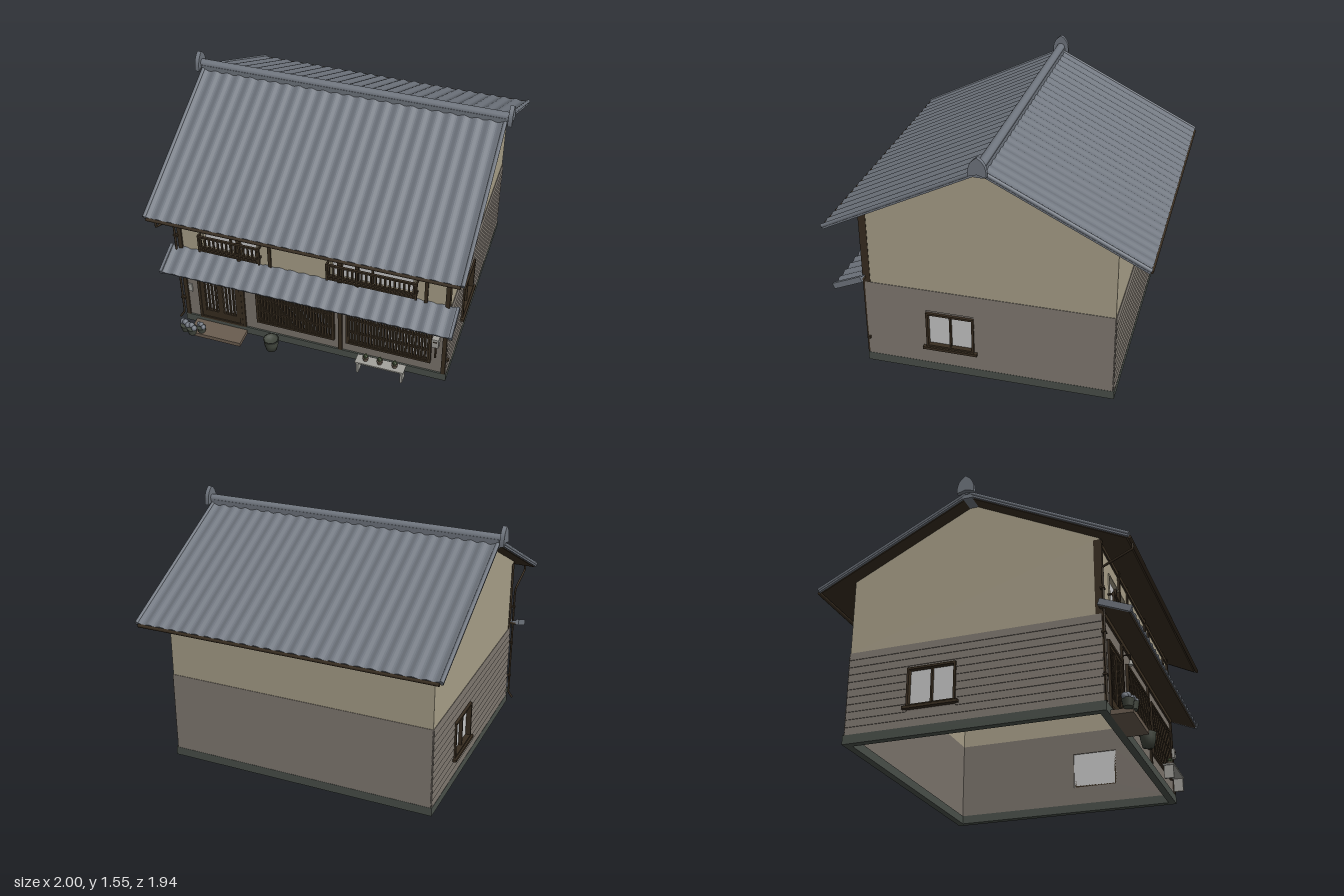
import * as THREE from 'three';

const mat = (name, color, side = THREE.FrontSide) => {
  const m = new THREE.MeshStandardMaterial({ color, side });
  m.name = name;
  return m;
};

export function createModel() {
  const slate = mat('slate tile', 0x70767f), plaster = mat('plaster', 0xaaa18a), siding = mat('grey siding', 0x7c756d);
  const wood = mat('dark wood', 0x382d20), concrete = mat('foundation', 0x4b514b), glass = mat('pale glass', 0xc9c9c9);
  const pale = mat('pale metal', 0xa3a29c), clay = mat('clay', 0x6a5d50), leaf = mat('leaf', 0x48553a), planter = mat('planter', 0x43483f);

  const model = new THREE.Group();
  model.name = 'townhouse';
  const group = (name, parent = model) => {
    const g = new THREE.Group();
    g.name = name;
    parent.add(g);
    return g;
  };
  const add = (parent, name, geo, m, x = 0, y = 0, z = 0) => {
    const mesh = new THREE.Mesh(geo, m);
    mesh.name = name;
    mesh.position.set(x, y, z);
    parent.add(mesh);
    return mesh;
  };
  // Box given by its extents
  const box = (p, name, m, x0, x1, y0, y1, z0, z1) =>
    add(p, name, new THREE.BoxGeometry(x1 - x0, y1 - y0, z1 - z0), m, (x0 + x1) / 2, (y0 + y1) / 2, (z0 + z1) / 2);
  const rect = ([x0, x1, y0, y1]) => [[x0, y0], [x1, y0], [x1, y1], [x0, y1]].map(p => new THREE.Vector2(...p));
  // Wall slab with rectangular openings, outer face at z = 0
  const T = 0.03;
  const wall = (p, name, m, pts, holes = []) => {
    const s = new THREE.Shape(pts);
    holes.forEach(h => s.holes.push(new THREE.Path(rect(h).reverse())));
    return add(p, name, new THREE.ExtrudeGeometry(s, { depth: T, bevelEnabled: false }), m, 0, 0, -T);
  };
  const frame = (p, name, m, [x0, x1, y0, y1], w, z0, z1) => {
    const f = group(name, p);
    box(f, 'leftStile', m, x0, x0 + w, y0, y1, z0, z1);
    box(f, 'rightStile', m, x1 - w, x1, y0, y1, z0, z1);
    box(f, 'topRail', m, x0 + w, x1 - w, y1 - w, y1, z0, z1);
    box(f, 'bottomRail', m, x0 + w, x1 - w, y0, y0 + w, z0, z1);
    return f;
  };
  const bars = (p, n, x0, x1, w, y0, y1, z0, z1) => {
    for (let i = 0; i < n; i++) {
      const x = x0 + (x1 - x0) * (i + 0.5) / n;
      box(p, 'bar', wood, x - w / 2, x + w / 2, y0, y1, z0, z1);
    }
  };
  const pane = (p, [x0, x1, y0, y1]) => box(p, 'glass', glass, x0, x1, y0, y1, -0.022, -0.014);

  const HX = 0.855, HZ = 0.765, MID = 0.57;

  // Foundation ring
  const ring = new THREE.Shape(rect([-0.865, 0.865, -0.775, 0.775]));
  ring.holes.push(new THREE.Path(rect([-0.82, 0.82, -0.73, 0.73]).reverse()));
  add(model, 'foundation', new THREE.ExtrudeGeometry(ring, { depth: 0.055, bevelEnabled: false }), concrete).rotation.x = -Math.PI / 2;

  // Overlapping clapboards, split around an opening
  const clapboards = (p, half, hole) => {
    const n = 11, h = (MID - 0.055) / n;
    for (let i = 0; i < n; i++) {
      const y = 0.055 + h * i;
      const cut = hole && y + h > hole[2] && y < hole[3];
      const runs = cut ? [[-half, hole[0]], [hole[1], half]] : [[-half, half]];
      for (const [a, b] of runs)
        add(p, 'clapboard', new THREE.BoxGeometry(b - a, h * 1.02, 0.004), siding, (a + b) / 2, y + h / 2, 0.004).rotation.x = -0.1;
    }
  };

  // Gable walls with one sliding window each
  for (const s of [1, -1]) {
    const g = group(s > 0 ? 'leftGableWall' : 'rightGableWall');
    g.position.x = s * HX;
    g.rotation.y = s * Math.PI / 2;
    const win = [-0.385, -0.085, 0.175, 0.415];
    wall(g, 'lowerWall', siding, rect([-HZ, HZ, 0.05, MID]), [win]);
    wall(g, 'gable', plaster, [[-HZ, MID], [HZ, MID], [HZ, 1.05], [0, 1.433], [-HZ, 1.05]].map(p => new THREE.Vector2(...p)));
    clapboards(g, HZ, win);
    pane(g, win);
    frame(g, 'windowFrame', wood, win, 0.013, -0.022, 0.018);
    box(g, 'mullion', wood, -0.24, -0.23, 0.18, 0.41, -0.014, 0.008);
    box(g, 'sill', wood, -0.405, -0.065, 0.16, 0.177, 0, 0.03);
  }

  // Back wall
  const back = group('backWall');
  back.position.z = -HZ;
  back.rotation.y = Math.PI;
  wall(back, 'lowerWall', siding, rect([-HX, HX, 0.05, MID]));
  wall(back, 'upperWall', plaster, rect([-HX, HX, MID, 1.05]));
  clapboards(back, HX);

  // Front wall
  const front = group('frontWall');
  front.position.z = HZ;
  const door = [-0.76, -0.465, 0.055, 0.46];
  const lattices = [[-0.365, 0.15, 0.13, 0.48], [0.225, 0.765, 0.13, 0.48]];
  const uppers = [[-0.69, -0.33, 0.65, 0.91], [0.13, 0.645, 0.65, 0.91]];
  wall(front, 'lowerWall', siding, rect([-HX, HX, 0.05, MID]), [door, ...lattices]);
  wall(front, 'upperWall', plaster, rect([-HX, HX, MID, 1.05]), uppers);
  for (const x of [-0.845, -0.458, 0.187, 0.845]) box(front, 'post', wood, x - 0.013, x + 0.013, 0.055, 1.04, -0.035, 0.012);
  for (const x of [-0.258, 0.293, 0.715]) box(front, 'upperPost', wood, x - 0.01, x + 0.01, 0.6, 1.04, -0.035, 0.01);
  box(front, 'middleBeam', wood, -HX, HX, 0.56, 0.59, -0.035, 0.012);
  box(front, 'topBeam', wood, -HX, HX, 1.0, 1.03, -0.035, 0.01);

  // Sliding lattice door
  const d = group('door', front);
  pane(d, door);
  frame(d, 'doorFrame', wood, door, 0.016, -0.022, 0.014);
  box(d, 'kickPanel', wood, -0.75, -0.47, 0.06, 0.125, -0.014, 0.006);
  box(d, 'topPanel', wood, -0.75, -0.47, 0.425, 0.455, -0.014, 0.006);
  for (const x of [-0.735, -0.612, -0.49]) box(d, 'stile', wood, x - 0.018, x + 0.018, 0.12, 0.43, -0.014, 0.008);
  bars(d, 10, -0.73, -0.49, 0.01, 0.12, 0.43, -0.01, 0.004);

  // Lattice windows
  for (const w of lattices) {
    const g = group('latticeWindow', front);
    pane(g, w);
    frame(g, 'latticeFrame', wood, w, 0.015, -0.022, 0.018);
    bars(g, 26, w[0] + 0.01, w[1] - 0.01, 0.012, 0.14, 0.47, -0.004, 0.012);
    for (const y of [0.15, 0.23, 0.335, 0.445]) box(g, 'rail', wood, w[0], w[1], y - 0.005, y + 0.005, -0.004, 0.014);
  }

  // Upper windows and balustrades
  for (const w of uppers) {
    const g = group('upperWindow', front), mid = (w[0] + w[1]) / 2;
    pane(g, w);
    frame(g, 'windowFrame', plaster, w, 0.01, -0.022, 0.008);
    box(g, 'mullion', wood, mid - 0.005, mid + 0.005, 0.66, 0.9, -0.014, 0.003);
    const r = group('balustrade', g), a = w[0] - 0.015, b = w[1] + 0.015;
    for (const y of [0.66, 0.685, 0.765]) box(r, 'rail', wood, a, b, y - 0.006, y + 0.006, 0.026, 0.04);
    bars(r, Math.round((b - a) / 0.028), a, b, 0.011, 0.655, 0.765, 0.028, 0.038);
    for (const x of [a, b]) {
      box(r, 'endPost', wood, x - 0.006, x + 0.006, 0.645, 0.775, 0.026, 0.04);
      for (const y of [0.685, 0.765]) box(r, 'bracket', wood, x - 0.005, x + 0.005, y - 0.005, y + 0.005, 0, 0.03);
    }
  }

  // Corrugated tile sheet running downhill along +z
  const tiles = (half, length, waves, h) => {
    const s = new THREE.Shape(), n = waves * 8;
    s.moveTo(-half, 0);
    s.lineTo(half, 0);
    for (let i = n; i >= 0; i--) s.lineTo(-half + 2 * half * i / n, h + 0.005 * Math.cos(i / 8 * 2 * Math.PI));
    return new THREE.ExtrudeGeometry(s, { depth: length, bevelEnabled: false });
  };

  // Main roof, one slope per side
  const slope = Math.atan(0.5), len = 1.063;
  for (const s of [1, -1]) {
    const side = group(s > 0 ? 'frontRoof' : 'backRoof');
    side.rotation.y = s > 0 ? 0 : Math.PI;
    const pitch = group('slope', side);
    pitch.position.y = 1.434;
    pitch.rotation.x = slope;
    box(pitch, 'roofBoards', wood, -0.945, 0.945, 0, 0.014, 0, len - 0.01);
    add(pitch, 'roofTiles', tiles(0.95, len, 24, 0.012), slate, 0, 0.012, 0);
    for (const x of [-0.956, 0.956]) {
      add(pitch, 'edgeRoll', new THREE.CylinderGeometry(0.012, 0.012, len, 10), slate, x, 0.024, len / 2).rotation.x = Math.PI / 2;
      box(pitch, 'edgeTiles', slate, x - 0.008, x + 0.008, 0.004, 0.024, 0, len);
    }
    // Half-round gutter
    const gutter = new THREE.CylinderGeometry(0.011, 0.011, 1.89, 10);
    add(side, 'gutter', gutter, wood, 0, 0.966, 0.96).rotation.z = Math.PI / 2;
  }

  // Ridge and its end ornaments
  const ridge = group('ridge');
  box(ridge, 'ridgeBase', slate, -0.965, 0.965, 1.42, 1.475, -0.03, 0.03);
  add(ridge, 'ridgeRoll', new THREE.CylinderGeometry(0.028, 0.028, 1.94, 16), slate, 0, 1.474, 0).rotation.z = Math.PI / 2;
  const crest = new THREE.Shape();
  crest.moveTo(-0.053, 0);
  crest.lineTo(0, 0.015);
  crest.lineTo(0.053, 0);
  crest.bezierCurveTo(0.056, 0.06, 0.04, 0.09, 0, 0.115);
  crest.bezierCurveTo(-0.04, 0.09, -0.056, 0.06, -0.053, 0);
  for (const s of [1, -1]) {
    const geo = new THREE.ExtrudeGeometry(crest, { depth: 0.026, bevelEnabled: false, curveSegments: 10 });
    add(ridge, 'ridgeEnd', geo, slate, s * 0.974, 1.44, 0).rotation.y = s * Math.PI / 2;
    const boss = new THREE.CylinderGeometry(0.022, 0.022, 0.03, 12);
    add(ridge, 'ridgeEndBoss', boss, slate, s * 0.965, 1.48, 0).rotation.z = Math.PI / 2;
  }

  // Lower eave over the ground floor
  const eave = group('lowerEave');
  eave.position.set(0, 0.612, 0.76);
  eave.rotation.x = Math.atan(0.42);
  box(eave, 'eaveBoards', wood, -0.9, 0.9, -0.012, 0.002, 0, 0.185);
  add(eave, 'eaveTiles', tiles(0.9, 0.195, 23, 0.012), slate);
  for (const x of [-0.907, 0.907]) box(eave, 'eaveEdge', slate, x - 0.009, x + 0.009, -0.012, 0.026, 0, 0.197);

  // Downpipe
  const pipe = new THREE.CatmullRomCurve3([[-0.885, 0.965, 0.96], [-0.885, 0.925, 0.96], [-0.875, 0.85, 0.785],
    [-0.872, 0.8, 0.782], [-0.872, 0.08, 0.782], [-0.9, 0.03, 0.79]].map(p => new THREE.Vector3(...p)), false, 'catmullrom', 0.05);
  add(model, 'downpipe', new THREE.TubeGeometry(pipe, 80, 0.007, 8), wood);
  for (const y of [0.2, 0.45, 0.72]) box(model, 'pipeBracket', wood, -0.882, -0.85, y - 0.005, y + 0.005, 0.765, 0.79);

  // Entrance step, with a cluster of potted shrubs
  box(model, 'doorStep', clay, -0.79, -0.44, 0, 0.028, 0.77, 0.9);
  const shrubs = group('shrubs');
  for (const [x, z, r] of [[-0.82, 0.88, 0.036], [-0.77, 0.895, 0.034], [-0.715, 0.87, 0.03]]) {
    add(shrubs, 'pot', new THREE.CylinderGeometry(r, r * 0.75, 0.045, 12), planter, x, 0.04, z);
    for (const k of [-1, 0, 1])
      add(shrubs, 'bloom', new THREE.IcosahedronGeometry(r * 0.55, 1), slate, x + k * r * 0.6, 0.075 + (k ? 0 : 0.01), z + k * r * 0.3);
  }

  // Water jar
  const jar = [[0, 0], [0.034, 0], [0.046, 0.05], [0.047, 0.078], [0.05, 0.085], [0.042, 0.085], [0.04, 0.065], [0, 0.065]];
  add(model, 'waterJar', new THREE.LatheGeometry(jar.map(p => new THREE.Vector2(...p)), 20), planter, -0.245, 0, 0.85);

  // Bench with small plants
  const bench = group('plantBench');
  box(bench, 'seat', pale, 0.315, 0.625, 0.083, 0.093, 0.81, 0.88);
  for (const x of [0.33, 0.61]) box(bench, 'leg', pale, x - 0.007, x + 0.007, 0, 0.083, 0.815, 0.875);
  for (const x of [0.375, 0.465, 0.56]) {
    add(bench, 'pot', new THREE.CylinderGeometry(0.02, 0.014, 0.025, 12), clay, x, 0.105, 0.845);
    add(bench, 'plant', new THREE.IcosahedronGeometry(0.018, 0), leaf, x, 0.128, 0.845);
  }

  // Hanging lamp, name plate, post box and tap
  const lamp = group('hangingLamp');
  box(lamp, 'arm', wood, -0.418, -0.412, 0.51, 0.516, 0.765, 0.815);
  box(lamp, 'cord', wood, -0.417, -0.413, 0.47, 0.516, 0.808, 0.812);
  add(lamp, 'shade', new THREE.CylinderGeometry(0.007, 0.015, 0.03, 12), pale, -0.415, 0.46, 0.81);
  box(model, 'namePlate', pale, -0.828, -0.802, 0.26, 0.32, 0.765, 0.773);
  box(model, 'postBox', pale, 0.77, 0.812, 0.29, 0.355, 0.765, 0.8);
  box(model, 'postBoxSlot', wood, 0.778, 0.804, 0.332, 0.338, 0.798, 0.803);
  box(model, 'conduit', wood, 0.786, 0.796, 0.18, 0.29, 0.765, 0.777);
  box(model, 'tap', wood, 0.855, 0.875, 0.165, 0.18, 0.75, 0.77);
  return model;
}
